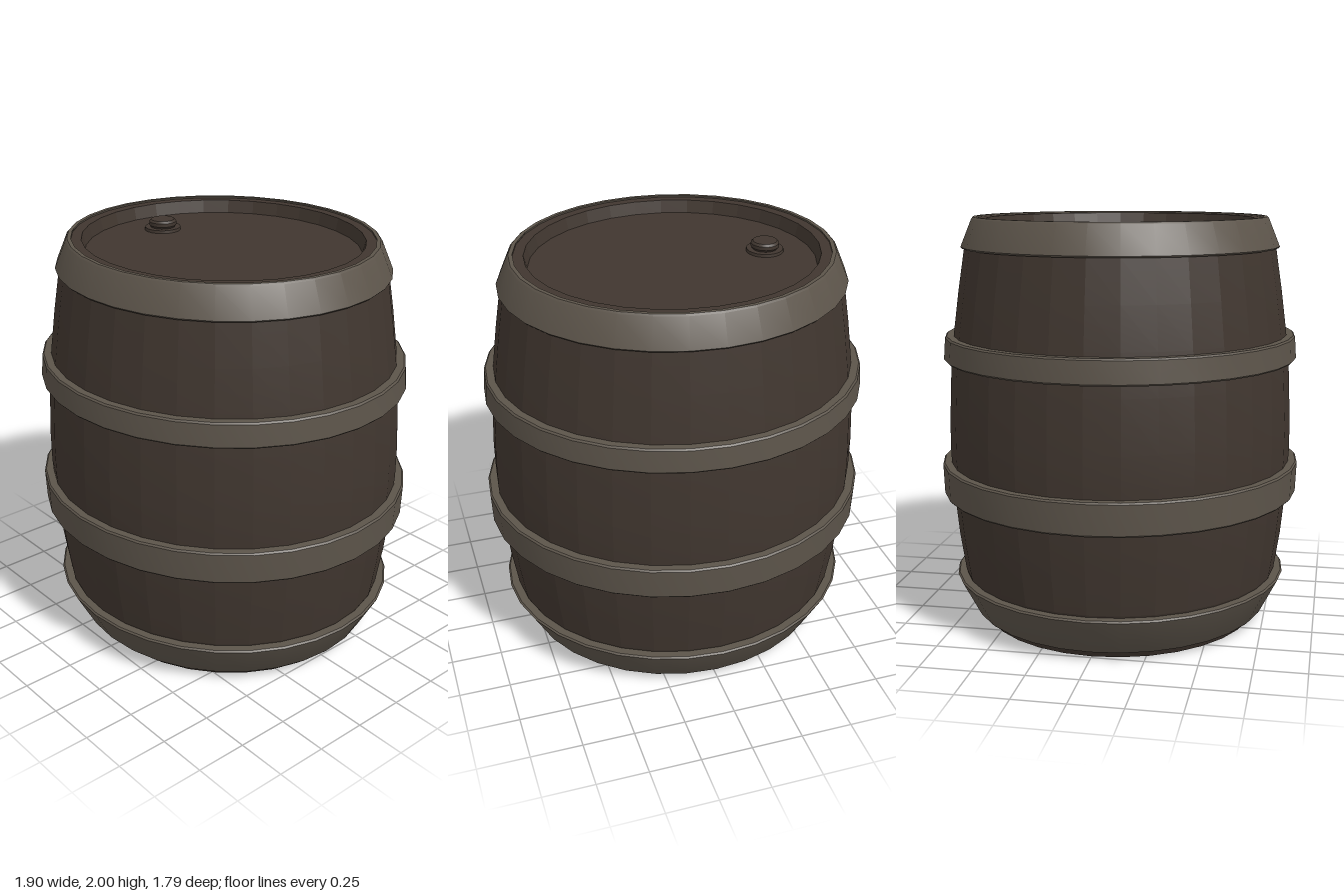
import * as THREE from 'three';
import { toCreasedNormals } from 'three/addons/utils/BufferGeometryUtils.js';

const SIDES = 32;
const wood = new THREE.MeshStandardMaterial({ color: 0x40362f });
const iron = new THREE.MeshStandardMaterial({ color: 0x5c544a });

// Turns a [radius, y] profile into a named mesh, keeping edges above the crease angle sharp.
function turned(name, profile, material, crease, sides = SIDES) {
  const points = profile.map(([r, y]) => new THREE.Vector2(r, y));
  const geometry = toCreasedNormals(new THREE.LatheGeometry(points, sides), crease);
  const mesh = new THREE.Mesh(geometry, material);
  mesh.name = name;
  return mesh;
}

// Hoop with slightly bevelled outer edges, sunk into the staves.
function hoop(name, y0, y1, r0, r1, inner0, inner1) {
  const b = 0.008;
  return turned(name, [
    [inner0, y0], [r0 - b, y0], [r0, y0 + b],
    [r1, y1 - b], [r1 - b, y1], [inner1, y1], [inner0, y0],
  ], iron, 0.4);
}

export function createModel() {
  const model = new THREE.Group();
  model.name = 'barrel';

  // Cask with faceted staves, rim and recessed lid; slightly oval in plan
  const cask = new THREE.Group();
  cask.name = 'cask';
  cask.scale.z = 0.942;
  model.add(cask);

  cask.add(turned('staves', [
    [0, 0], [0.735, 0], [0.76, 0.04], [0.84, 0.24], [0.87, 0.43], [0.892, 0.64],
    [0.905, 0.85], [0.905, 1.0], [0.893, 1.25], [0.873, 1.45], [0.845, 1.65],
    [0.812, 1.85], [0.755, 1.985], [0.745, 1.992], [0.695, 1.992], [0.68, 1.93],
  ], wood, 0.15));
  cask.add(turned('lid', [[0.7, 1.93], [0, 1.93]], wood, 0.4));

  // Four hoops from the bottom up
  cask.add(hoop('bottomHoop', 0.04, 0.23, 0.79, 0.885, 0.74, 0.82));
  cask.add(hoop('lowerHoop', 0.64, 0.8, 0.942, 0.948, 0.87, 0.88));
  cask.add(hoop('upperHoop', 1.31, 1.43, 0.928, 0.92, 0.87, 0.86));
  cask.add(hoop('topHoop', 1.85, 2, 0.83, 0.772, 0.79, 0.745));

  // Bung with its collar on the lid
  const bung = new THREE.Group();
  bung.name = 'bung';
  bung.position.set(-0.46, 1.93, 0);
  bung.add(turned('bungCollar', [[0.09, 0], [0.088, 0.014], [0, 0.014]], wood, 0.5, 24));
  bung.add(turned('bungCap',
    [[0.06, 0.014], [0.068, 0.025], [0.068, 0.042], [0.058, 0.052], [0, 0.052]], wood, 0.5, 24));
  model.add(bung);

  return model;
}
